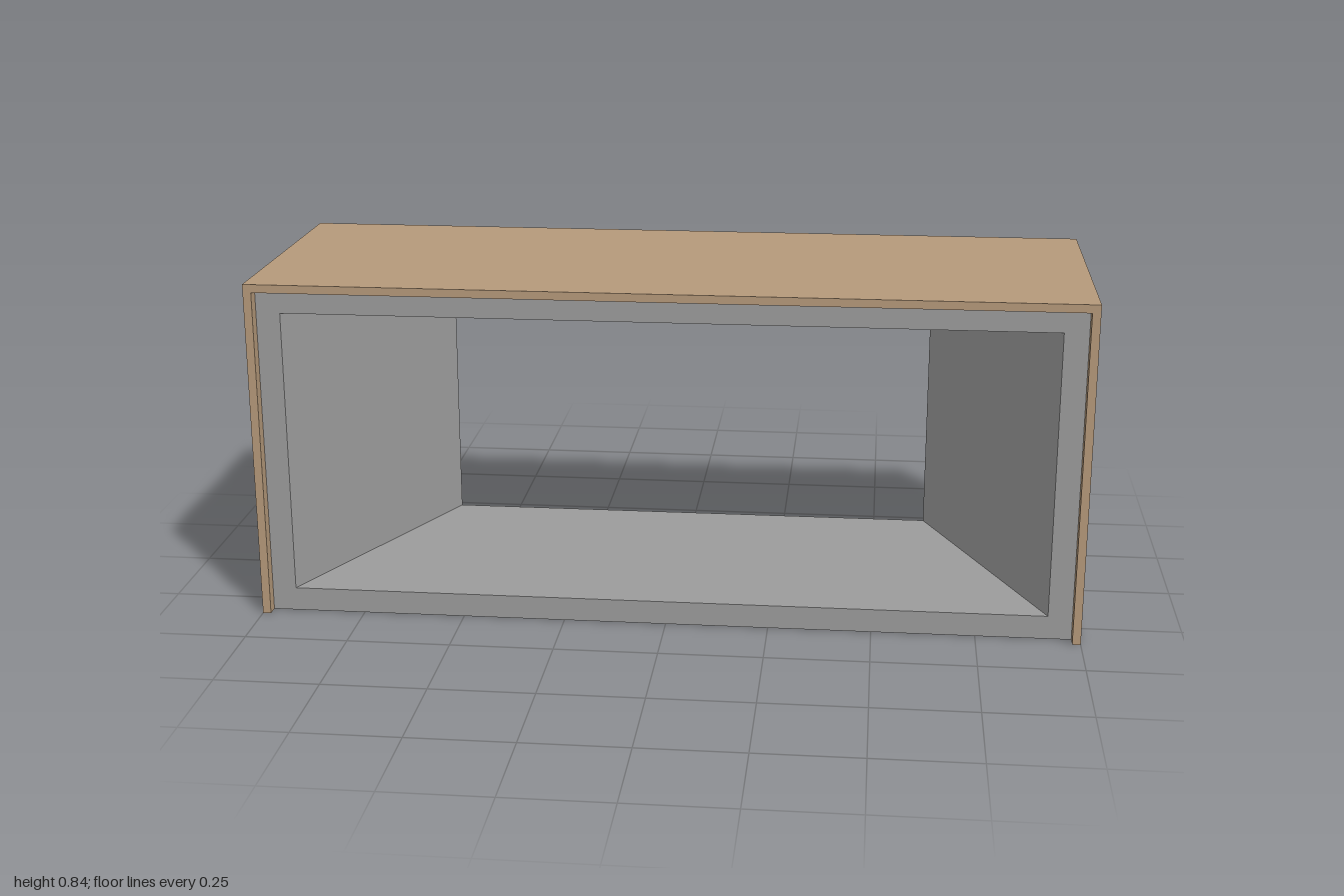
import * as THREE from 'three';

const W = 1, H = 0.836, D = 0.351;      // half width, height, half depth of the casing
const T = 0.02, RECESS = 0.03;          // board thickness, inset of the lining
const FLOOR = 0.058, CEILING = 0.76;    // opening, bottom and top
const FRONT = 0.922, BACK = 0.632;      // opening half widths, front and back

function outline(points) {
  return new THREE.Shape(points.map(([x, y]) => new THREE.Vector2(x, y)));
}

export function createModel() {
  const group = new THREE.Group();
  const wood = new THREE.MeshStandardMaterial({ color: 0xb5997a });
  const grey = new THREE.MeshStandardMaterial({ color: 0x9b9b9b });
  wood.name = 'wood';
  grey.name = 'grey';

  const add = (name, geometry, material) => {
    const mesh = new THREE.Mesh(geometry, material);
    mesh.name = name;
    group.add(mesh);
    return mesh;
  };

  // Wooden casing: two sides and a top, open underneath
  const inX = W - T, inY = H - T;
  const casing = new THREE.ExtrudeGeometry(outline([
    [-W, 0], [-inX, 0], [-inX, inY], [inX, inY], [inX, 0], [W, 0], [W, H], [-W, H],
  ]), { depth: 2 * D, bevelEnabled: false });
  casing.translate(0, 0, -D);
  add('casing', casing, wood);

  // Lining floor and ceiling slabs
  const d = D - RECESS;
  for (const [name, y0, y1] of [['liningFloor', 0, FLOOR], ['liningCeiling', CEILING, inY]]) {
    add(name, new THREE.BoxGeometry(2 * inX, y1 - y0, 2 * d), grey).position.y = (y0 + y1) / 2;
  }

  // Slanted lining walls, narrowing the opening towards the back
  for (const [name, s] of [['liningWallLeft', 1], ['liningWallRight', -1]]) {
    const wall = new THREE.ExtrudeGeometry(outline([
      [s * inX, -d], [s * inX, d], [s * BACK, d], [s * FRONT, -d],
    ]), { depth: CEILING - FLOOR, bevelEnabled: false });
    wall.rotateX(-Math.PI / 2);
    add(name, wall, grey).position.y = FLOOR;
  }

  return group;
}
